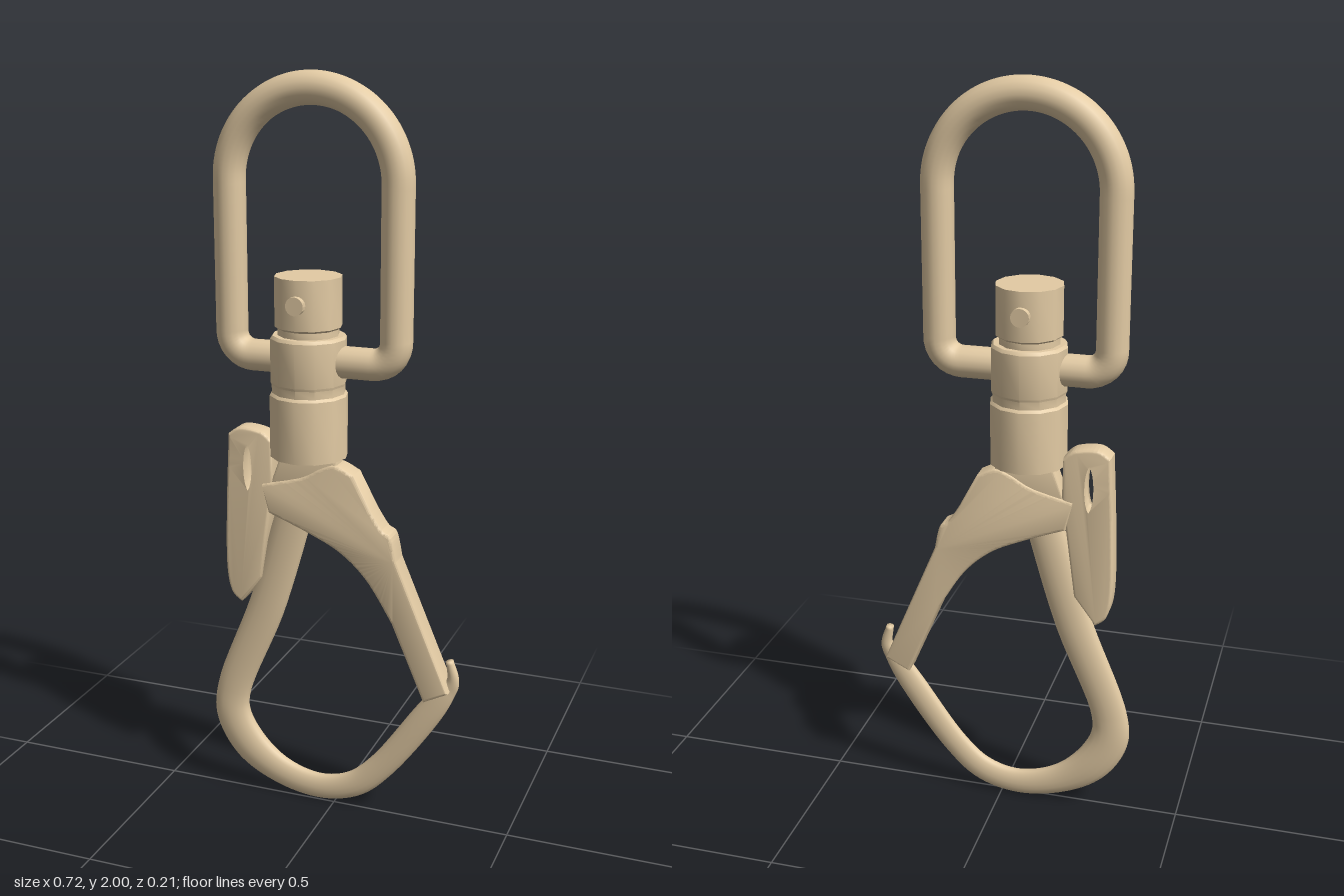
import * as THREE from 'three';
import { toCreasedNormals } from 'three/addons/utils/BufferGeometryUtils.js';

const CX = -0.07; // swivel axis
const HZ = -0.01; // middle plane of the hook

const pts = (list) => list.map(([x, y]) => new THREE.Vector2(x, y));

// Flat outline extruded about z = 0 with softened edges, staying inside the outline
function plate(shape, half, bevel) {
  const geo = new THREE.ExtrudeGeometry(shape, {
    depth: 2 * (half - bevel), bevelEnabled: true, bevelThickness: bevel,
    bevelSize: bevel, bevelOffset: -bevel, bevelSegments: 3, curveSegments: 20,
  });
  geo.translate(0, 0, bevel - half);
  return toCreasedNormals(geo, 0.6);
}

// Elliptical sweep in the xy plane; each station is [x, y, half width]
function taperedSweep(stations, steps, sides) {
  const curve = new THREE.CatmullRomCurve3(
    stations.map(([x, y, w]) => new THREE.Vector3(x, y, w)), false, 'centripetal');
  const pos = [], index = [];
  for (let i = 0; i <= steps + 2; i++) {
    const t = THREE.MathUtils.clamp((i - 1) / steps, 0, 1);
    const p = curve.getPoint(t), d = curve.getTangent(t);
    const len = Math.hypot(d.x, d.y);
    const end = i === 0 || i === steps + 2 ? 0 : 1; // closes both ends
    const w = p.z * end, h = Math.max(p.z * 0.5, 0.012) * end;
    for (let j = 0; j < sides; j++) {
      const a = (j / sides) * Math.PI * 2;
      pos.push(p.x - (d.y / len) * w * Math.cos(a), p.y + (d.x / len) * w * Math.cos(a), h * Math.sin(a));
      if (i === 0) continue;
      const k = (j + 1) % sides, r0 = (i - 1) * sides, r1 = i * sides;
      index.push(r0 + j, r0 + k, r1 + j, r0 + k, r1 + k, r1 + j);
    }
  }
  const geo = new THREE.BufferGeometry();
  geo.setAttribute('position', new THREE.Float32BufferAttribute(pos, 3));
  geo.setIndex(index);
  geo.computeVertexNormals();
  return geo;
}

export function createModel() {
  const group = new THREE.Group();
  const metal = new THREE.MeshStandardMaterial({ color: 0xe3cba4, side: THREE.DoubleSide });
  const add = (name, geo, x = 0, y = 0, z = 0) => {
    const mesh = new THREE.Mesh(geo, metal);
    mesh.name = name;
    mesh.position.set(x, y, z);
    group.add(mesh);
    return mesh;
  };

  // Strap loop: round arch above, tight corners below
  const W = 0.226, R = 0.06, low = 1.277, spring = 1.732;
  const loop = new THREE.Path();
  loop.moveTo(0, low);
  loop.lineTo(W - R, low);
  loop.absarc(W - R, low + R, R, -Math.PI / 2, 0);
  loop.lineTo(W, spring);
  loop.absarc(0, spring, W, 0, Math.PI);
  loop.lineTo(-W, low + R);
  loop.absarc(R - W, low + R, R, Math.PI, Math.PI * 1.5);
  loop.lineTo(0, low);
  const loopPoints = loop.getSpacedPoints(120).slice(0, -1).map((p) => new THREE.Vector3(p.x, p.y, 0));
  add('strapLoop', new THREE.TubeGeometry(
    new THREE.CatmullRomCurve3(loopPoints, true), 160, 0.042, 16, true), -0.058);

  // Swivel barrel with stepped collars
  const barrel = new THREE.LatheGeometry(pts([
    [0, 1.02], [0.103, 1.02], [0.103, 1.185], [0.097, 1.192], [0.097, 1.213], [0.1, 1.22],
    [0.1, 1.335], [0.094, 1.343], [0.08, 1.343], [0.08, 1.36], [0.088, 1.366], [0.088, 1.495], [0, 1.495],
  ]), 12);
  add('swivelBarrel', toCreasedNormals(barrel, 0.6), CX);

  // Cross pin through the top of the barrel
  const pin = new THREE.CylinderGeometry(0.024, 0.024, 0.2, 16);
  pin.rotateX(Math.PI / 2);
  add('swivelPin', toCreasedNormals(pin, 0.6), CX, 1.432);

  // Flat neck joining barrel and hook
  const neck = new THREE.Shape(pts([[-0.18, 0.92], [0.02, 0.92], [0.01, 1.03], [-0.14, 1.03]]));
  add('neck', plate(neck, 0.028, 0.008), 0, 0, HZ);

  // Spine and shoulder arm
  const arm = new THREE.Shape();
  arm.moveTo(-0.2, 0.93);
  arm.splineThru(pts([[-0.09, 0.958], [-0.03, 0.99], [0.01, 1.002], [0.06, 0.98]]));
  arm.lineTo(0.11, 0.885);
  arm.splineThru(pts([[0.14, 0.84], [0.165, 0.82], [0.18, 0.755]]));
  arm.lineTo(0.33, 0.4);
  arm.lineTo(0.262, 0.365);
  arm.lineTo(0.17, 0.58);
  arm.splineThru(pts([[0.1, 0.69], [0.025, 0.76], [-0.065, 0.805], [-0.18, 0.85]]));
  arm.closePath();
  add('shoulderArm', plate(arm, 0.034, 0.008), 0, 0, HZ);

  // Thumb lever with oval eye
  const lever = new THREE.Shape();
  lever.moveTo(-0.295, 1.06);
  lever.splineThru(pts([[-0.26, 1.08], [-0.2, 1.073], [-0.17, 1.05]]));
  lever.lineTo(-0.168, 0.94);
  lever.lineTo(-0.18, 0.85);
  lever.lineTo(-0.205, 0.66);
  lever.lineTo(-0.265, 0.58);
  lever.splineThru(pts([[-0.295, 0.61], [-0.308, 0.69], [-0.305, 0.86], [-0.295, 1.06]]));
  const eye = new THREE.Path();
  eye.absellipse(-0.24, 0.97, 0.02, 0.073, 0, Math.PI * 2, true);
  lever.holes.push(eye);
  add('thumbLever', plate(lever, 0.03, 0.008), 0, 0, HZ);

  // Hook bow, tapering round to the catch nub
  add('hookBow', taperedSweep([
    [-0.107, 0.88, 0.05], [-0.125, 0.82, 0.052], [-0.2, 0.57, 0.052], [-0.305, 0.3, 0.05],
    [-0.307, 0.22, 0.053], [-0.255, 0.13, 0.053], [-0.16, 0.065, 0.043], [-0.045, 0.04, 0.038],
    [0.055, 0.065, 0.038], [0.135, 0.135, 0.037], [0.265, 0.315, 0.037], [0.31, 0.385, 0.03],
    [0.335, 0.425, 0.018], [0.325, 0.485, 0.01],
  ], 90, 16), 0, 0, HZ);

  return group;
}
